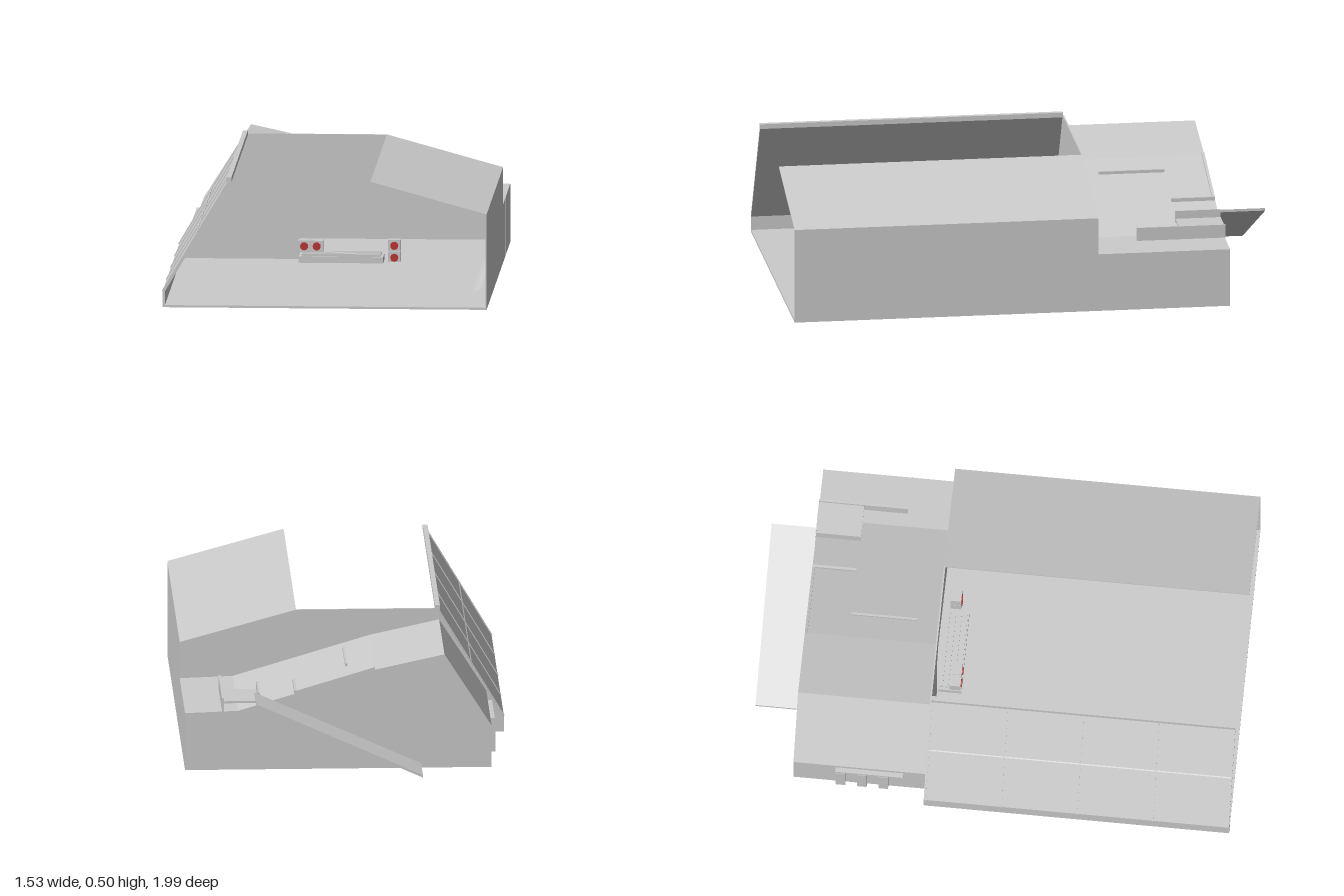
import * as THREE from 'three';

const grey = new THREE.MeshStandardMaterial({ color: 0xcccccc, side: THREE.DoubleSide, flatShading: true });
const red = new THREE.MeshStandardMaterial({ color: 0xc03030 });

export function createModel() {
  const model = new THREE.Group();
  model.name = 'hangar';
  const hangar = new THREE.Group();
  hangar.name = 'building';
  hangar.rotation.y = Math.PI / 12; // the building stands turned on its site
  model.add(hangar);

  const add = (name, geometry, material = grey) => {
    const mesh = new THREE.Mesh(geometry, material);
    mesh.name = name;
    hangar.add(mesh);
    return mesh;
  };
  const shapeOf = (pts) => new THREE.Shape(pts.map(([x, y]) => new THREE.Vector2(x, y)));
  // box given by its limits
  const box = (name, x0, x1, y0, y1, z0, z1, material) => {
    const mesh = add(name, new THREE.BoxGeometry(x1 - x0, y1 - y0, z1 - z0), material);
    mesh.position.set((x0 + x1) / 2, (y0 + y1) / 2, (z0 + z1) / 2);
    return mesh;
  };
  // sheet swept along z from an x, y profile
  const sheet = (name, profile, z0, z1) => {
    const pos = [];
    for (let i = 0; i < profile.length - 1; i++) {
      const [ax, ay] = profile[i], [bx, by] = profile[i + 1];
      pos.push(ax, ay, z0, ax, ay, z1, bx, by, z1, ax, ay, z0, bx, by, z1, bx, by, z0);
    }
    const g = new THREE.BufferGeometry();
    g.setAttribute('position', new THREE.Float32BufferAttribute(pos, 3));
    g.computeVertexNormals();
    return add(name, g);
  };
  // solid bar or slab swept along z
  const slab = (name, pts, z0, z1) => {
    const g = new THREE.ExtrudeGeometry(shapeOf(pts), { depth: z1 - z0, bevelEnabled: false });
    g.translate(0, 0, z0);
    return add(name, g);
  };

  const front = 0.85, mid = -0.29, back = -0.788;
  const left = -0.652, right = 0.558;

  // floor plate, narrower on the left behind the bulkhead
  const plan = [[left, front], [right, front], [right, back], [-0.586, back], [-0.586, mid], [left, mid]];
  const floor = new THREE.ExtrudeGeometry(shapeOf(plan), { depth: 0.008, bevelEnabled: false });
  floor.rotateX(Math.PI / 2);
  floor.translate(0, 0.013, 0);
  add('floor', floor);
  for (const [x, z] of [[-0.4, 0.6], [0.35, 0.5], [0.1, -0.5]]) box('foot', x - 0.02, x + 0.02, 0, 0.008, z - 0.02, z + 0.02);

  // leaning left wall with its kerb, top beam and panel ribs
  const kerb = 0.065, ridge = 0.482;
  slab('leftWall', [[left, 0.008], [left, kerb], [-0.405, ridge], [-0.395, ridge], [-0.643, kerb], [-0.643, 0.008]], mid, front);
  slab('leftWallBeam', [[-0.413, 0.478], [-0.413, 0.496], [-0.395, 0.496], [-0.395, 0.478]], mid, front);
  const lean = (t) => [left + t * 0.247, kerb + t * (ridge - kerb)];
  for (let i = 0; i <= 4; i++) {
    const z = mid + 0.003 + (i / 4) * (front - mid - 0.006);
    const [ax, ay] = lean(0), [bx, by] = lean(1);
    slab('leftWallRib', [[ax, ay], [ax - 0.003, ay + 0.002], [bx - 0.003, by + 0.002], [bx, by]], z - 0.002, z + 0.002);
  }
  const [rx, ry] = lean(0.5);
  slab('leftWallRail', [[rx, ry - 0.003], [rx - 0.004, ry], [rx, ry + 0.003]], mid, front);

  // right wall and its sloping half roof
  slab('rightWallAndRoof', [[right, 0.008], [right, 0.365], [0.124, 0.485], [0.124, 0.48], [0.553, 0.361], [0.553, 0.008]], mid, front);

  // bulkhead with the doorway cut into its lower edge
  slab('bulkhead', [
    [left, 0.008], [left, kerb], [-0.404, 0.485], [0.124, 0.485], [right, 0.365], [right, 0.008],
    [0.515, 0.008], [0.515, 0.225], [0.33, 0.232], [-0.15, 0.38], [-0.2, 0.3], [-0.2, 0.008],
  ], mid - 0.004, mid + 0.002);

  // rear room: skin and end wall
  const skin = [[-0.586, 0.008], [-0.586, 0.165], [-0.41, 0.442], [-0.15, 0.385], [0.36, 0.232], [right, 0.225], [right, 0.008]];
  sheet('rearSkin', skin, back, mid);
  const rear = new THREE.ShapeGeometry(shapeOf(skin));
  rear.translate(0, 0, back);
  add('rearWall', rear);
  box('rearWallSeam', right - 0.002, right + 0.002, 0.01, 0.225, -0.453, -0.448);

  // ducts on the left flank of the rear room
  for (const z of [-0.61, -0.53, -0.45]) box('sideDuct', -0.606, -0.584, 0.02, 0.14, z - 0.018, z + 0.018);
  box('sideLedge', -0.604, -0.584, 0.14, 0.15, -0.63, -0.376);

  // access ramp climbing across the back, and its landing
  slab('rearRamp', [[-0.323, 0.012], [0.298, 0.292], [0.298, 0.302], [-0.323, 0.022]], -0.956, back);
  box('landing', 0.285, 0.418, 0.262, 0.27, -0.79, -0.62);
  box('landingRail', 0.412, 0.42, 0.225, 0.28, -0.79, -0.457);
  box('landingPost', 0.278, 0.286, 0.24, 0.3, -0.79, -0.62);

  // rails lying on the rear roof
  const roofY = (x) => 0.385 - (x + 0.15) * 0.3;
  box('roofRail', 0.14, 0.15, roofY(0.145) - 0.01, roofY(0.145) + 0.012, back, -0.623);
  box('roofRail', -0.054, -0.046, roofY(-0.05) - 0.01, roofY(-0.05) + 0.01, -0.624, -0.376);
  slab('roofEdgeRail', [[-0.15, 0.385], [-0.15, 0.395], [0.15, 0.305], [0.15, 0.295]], back, back + 0.01);

  // curved cove where the right wall meets the floor
  const cove = [];
  for (let i = 0; i <= 8; i++) {
    const a = (i / 8) * Math.PI / 2;
    cove.push([0.553 - 0.07 * (1 - Math.sin(a)), 0.013 + 0.117 * (1 - Math.cos(a))]);
  }
  sheet('wallCove', cove, mid + 0.02, 0.48);

  // low slatted step in the doorway
  box('doorStep', -0.2, 0.115, 0.013, 0.036, -0.285, -0.197);
  for (let i = 0; i < 4; i++) box('stepSlat', -0.19, 0.105, 0.036, 0.046, -0.28 + i * 0.022, -0.268 + i * 0.022);

  // round lamps set in small housings
  const lamp = (x, y, z, r, material) => {
    const m = add('lamp', new THREE.CylinderGeometry(r, r, 0.008, 16).rotateX(Math.PI / 2), material);
    m.position.set(x, y, z);
  };
  for (const [x, y, z] of [[-0.18, 0.075, -0.22], [-0.133, 0.075, -0.22], [0.155, 0.075, -0.25], [0.155, 0.03, -0.25]]) {
    box('lampHousing', x - 0.023, x + 0.023, y - 0.021, y + 0.021, z - 0.02, z + 0.02);
    lamp(x, y, z + 0.02, 0.015, red);
  }
  box('floodlightHousing', 0.398, 0.515, 0.268, 0.328, mid, mid + 0.02);
  for (const x of [0.428, 0.485]) lamp(x, 0.298, mid + 0.022, 0.022, grey);
  box('controlBox', 0.5, 0.52, 0.05, 0.15, mid, mid + 0.03);

  return model;
}
